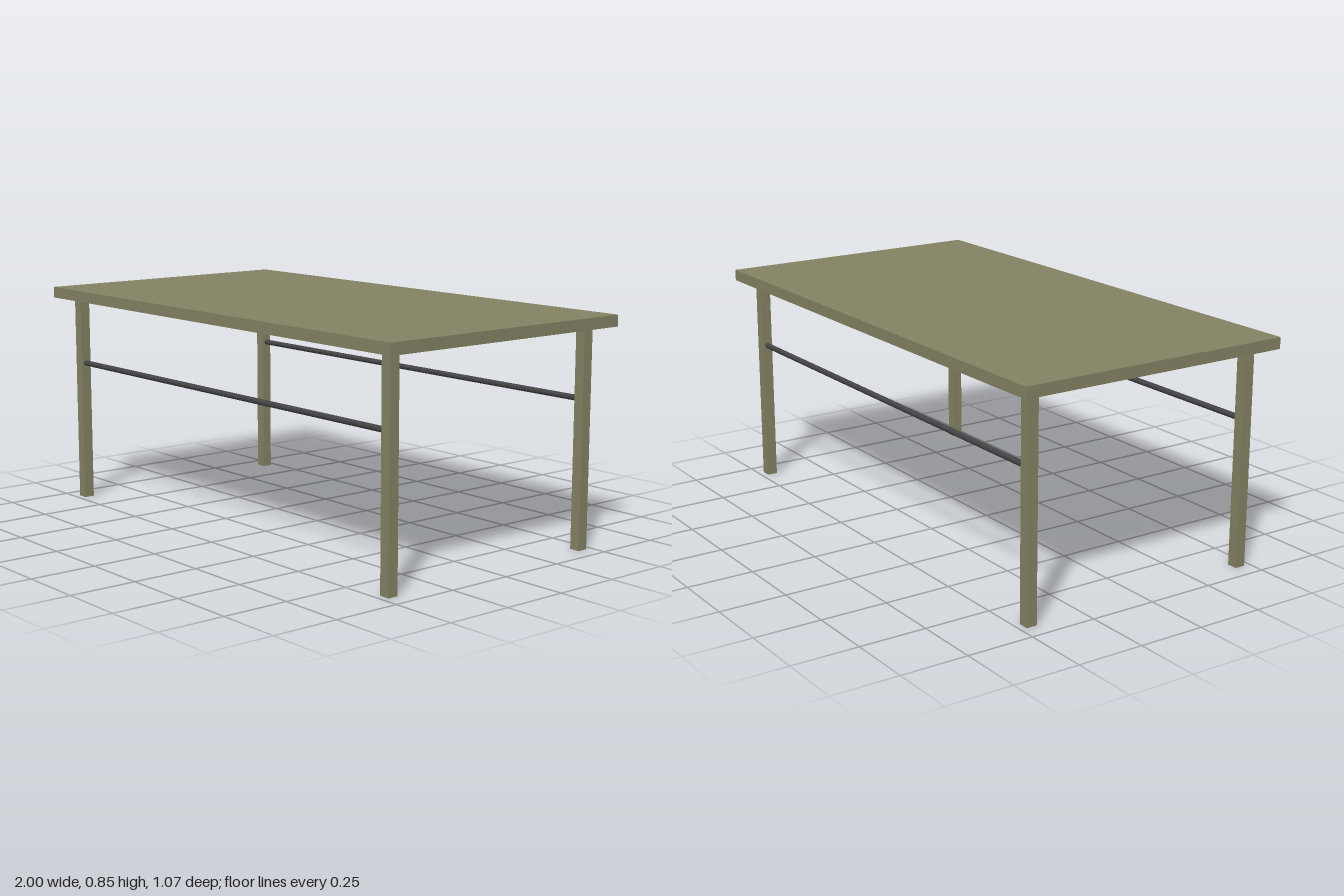
import * as THREE from 'three';

export function createModel() {
  const model = new THREE.Group();
  const wood = new THREE.MeshStandardMaterial({ color: 0x848263 });
  const metal = new THREE.MeshStandardMaterial({ color: 0x444446 });

  const height = 0.848, topThickness = 0.042, legSize = 0.04;
  const legX = 0.915, legZ = 0.456, legHeight = height - topThickness;

  const add = (name, geometry, material, x, y, z) => {
    const mesh = new THREE.Mesh(geometry, material);
    mesh.name = name;
    mesh.position.set(x, y, z);
    model.add(mesh);
  };

  // Flat slab top
  add('tableTop', new THREE.BoxGeometry(2, topThickness, 1.066), wood, 0, height - topThickness / 2, 0);

  // Square legs, and a round rail along each long side
  const legGeometry = new THREE.BoxGeometry(legSize, legHeight, legSize);
  const railGeometry = new THREE.CylinderGeometry(0.0107, 0.0107, 2 * legX - legSize, 16).rotateZ(Math.PI / 2);
  for (const [end, sz] of [['front', 1], ['back', -1]]) {
    for (const [side, sx] of [['Left', 1], ['Right', -1]]) {
      add(`${end}${side}Leg`, legGeometry, wood, sx * legX, legHeight / 2, sz * legZ);
    }
    add(`${end}Rail`, railGeometry, metal, 0, 0.547, sz * legZ);
  }

  return model;
}
